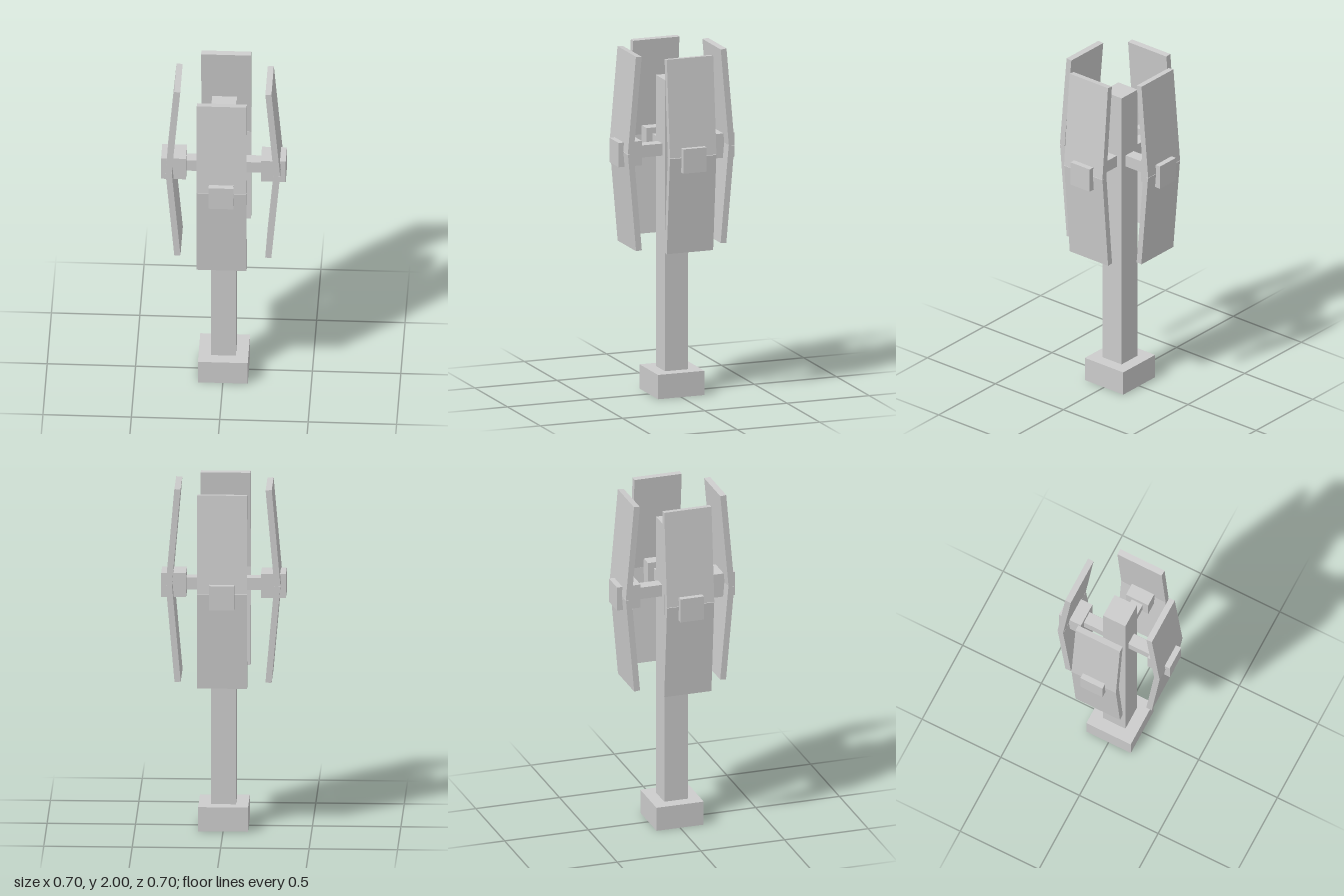
import * as THREE from 'three';

const material = new THREE.MeshStandardMaterial({ color: 0xcccccc, flatShading: true });

function box(name, size, position, tilt = 0) {
  const mesh = new THREE.Mesh(new THREE.BoxGeometry(...size), material);
  mesh.name = name;
  mesh.position.set(...position);
  mesh.rotation.x = tilt;
  return mesh;
}

// One side: arm, joint block and two panels leaning in towards the post
function createSide() {
  const side = new THREE.Group();
  const tilt = THREE.MathUtils.degToRad(5);
  side.add(
    box('arm', [0.07, 0.07, 0.15], [0, 1.42, 0.14]),
    box('jointBlock', [0.141, 0.141, 0.141], [0, 1.42, 0.282]),
    box('upperPanel', [0.282, 0.565, 0.035], [0, 1.717, 0.2825], -tilt),
    box('lowerPanel', [0.282, 0.565, 0.035], [0, 1.154, 0.2815], tilt)
  );
  return side;
}

export function createModel() {
  const model = new THREE.Group();
  model.name = 'panelledPost';

  // Foot and central post
  model.add(
    box('base', [0.282, 0.141, 0.282], [0, 0.0705, 0]),
    box('post', [0.141, 1.69, 0.141], [0, 0.986, 0])
  );

  // Four identical sides around the post
  ['front', 'left', 'back', 'right'].forEach((name, i) => {
    const side = createSide();
    side.name = name + 'Side';
    side.rotation.y = (i * Math.PI) / 2;
    model.add(side);
  });
  return model;
}
